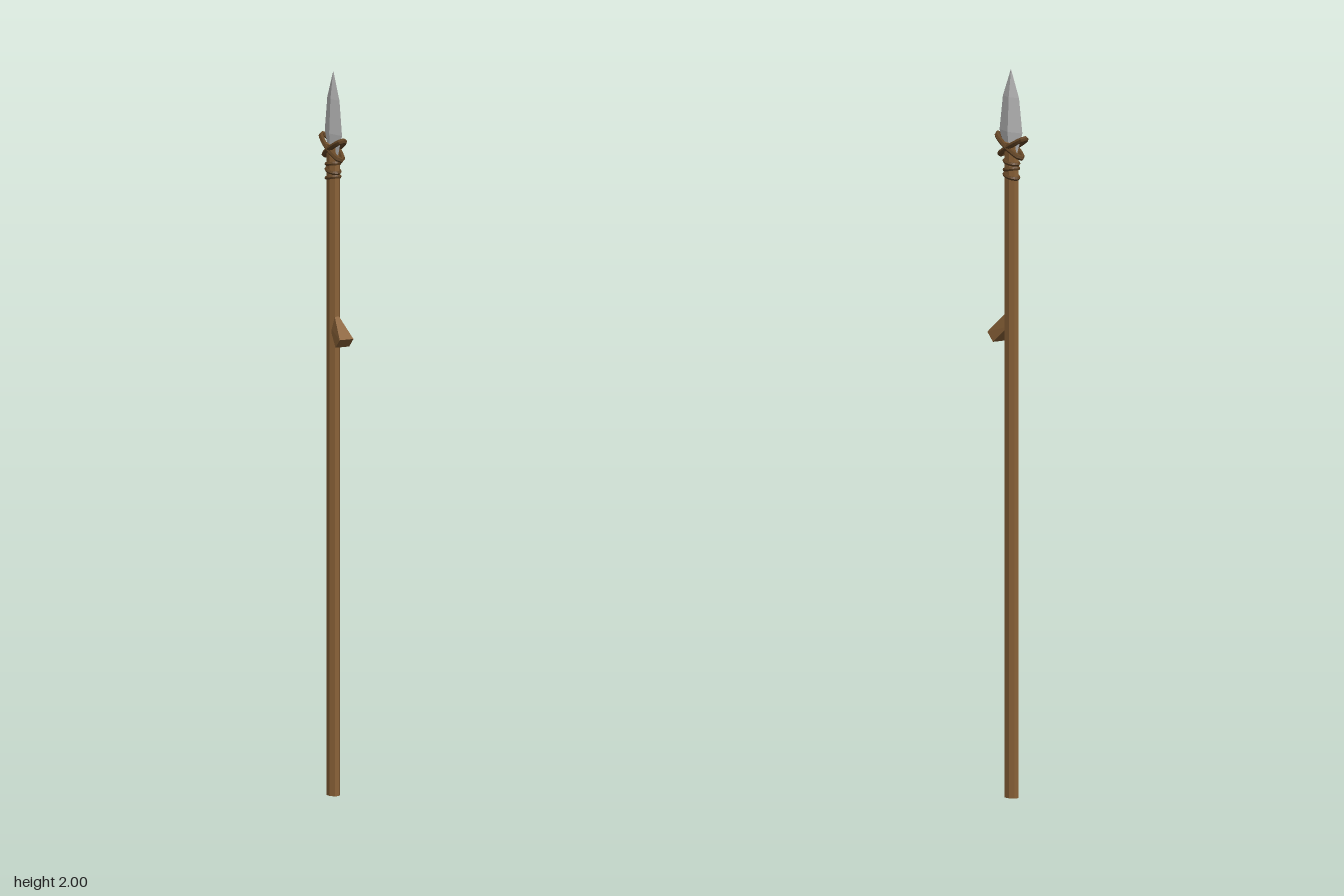
import * as THREE from 'three';
import { ConvexGeometry } from 'three/addons/geometries/ConvexGeometry.js';

const material = (color) => new THREE.MeshStandardMaterial({ color, flatShading: true });
const wood = material(0x8a6238);
const cord = material(0x644626);
const stone = material(0xcccccc);
const AXIS_Z = -0.005;

// Closed oval loop of cord, tilted so that it rises by `rise` towards +z
function cordLoop(name, y, z, halfX, halfZ, rise, radius) {
  const points = [];
  for (let i = 0; i < 16; i++) {
    const a = (i / 16) * Math.PI * 2;
    points.push(new THREE.Vector3(halfX * Math.cos(a), y + rise * Math.sin(a), z + halfZ * Math.sin(a)));
  }
  const curve = new THREE.CatmullRomCurve3(points, true);
  const mesh = new THREE.Mesh(new THREE.TubeGeometry(curve, 24, radius, 6, true), cord);
  mesh.name = name;
  return mesh;
}

export function createModel() {
  const group = new THREE.Group();

  // Eight-sided oval shaft
  const shaftGeometry = new THREE.CylinderGeometry(1, 1, 1.8, 8);
  shaftGeometry.rotateY(Math.PI / 8);
  shaftGeometry.scale(0.0172, 1, 0.0247);
  shaftGeometry.translate(0, 0.9, AXIS_Z);
  const shaft = new THREE.Mesh(shaftGeometry, wood);
  shaft.name = 'shaft';
  group.add(shaft);

  // Cut branch stub: narrow in the shaft, flaring to a square end
  const stubPoints = [];
  for (const x of [-1, 1]) {
    stubPoints.push(
      new THREE.Vector3(x * 0.004, 1.335, 0.008),
      new THREE.Vector3(x * 0.010, 1.295, -0.005),
      new THREE.Vector3(x * 0.021, 1.272, 0.075),
      new THREE.Vector3(x * 0.021, 1.247, 0.050),
    );
  }
  const stub = new THREE.Mesh(new ConvexGeometry(stubPoints), wood);
  stub.name = 'branchStub';
  group.add(stub);

  // Leaf-shaped blade with a central ridge: [y, half thickness, half width]
  const sections = [
    [1.755, 0.008, 0.020],
    [1.83, 0.0125, 0.051],
    [1.925, 0.0085, 0.036],
    [2.0, 0.0005, 0.001],
  ];
  const bladePoints = [];
  for (const [y, t, w] of sections) {
    for (const s of [-1, 1]) {
      bladePoints.push(new THREE.Vector3(s * t, y, -0.004), new THREE.Vector3(0, y, s * w - 0.003));
    }
  }
  const blade = new THREE.Mesh(new ConvexGeometry(bladePoints), stone);
  blade.name = 'blade';
  group.add(blade);

  // Crossed lashing round the base of the blade
  group.add(cordLoop('crossLashingFront', 1.79, 0.003, 0.0145, 0.053, 0.028, 0.0075));
  group.add(cordLoop('crossLashingBack', 1.79, -0.012, 0.0145, 0.056, -0.028, 0.0075));

  // Cord wraps below the blade
  [[1.708, 0.005], [1.727, -0.004], [1.746, 0.004]].forEach(([y, rise], i) => {
    group.add(cordLoop('cordWrap' + (i + 1), y, AXIS_Z, 0.0155, 0.0225, rise, 0.006));
  });

  return group;
}
